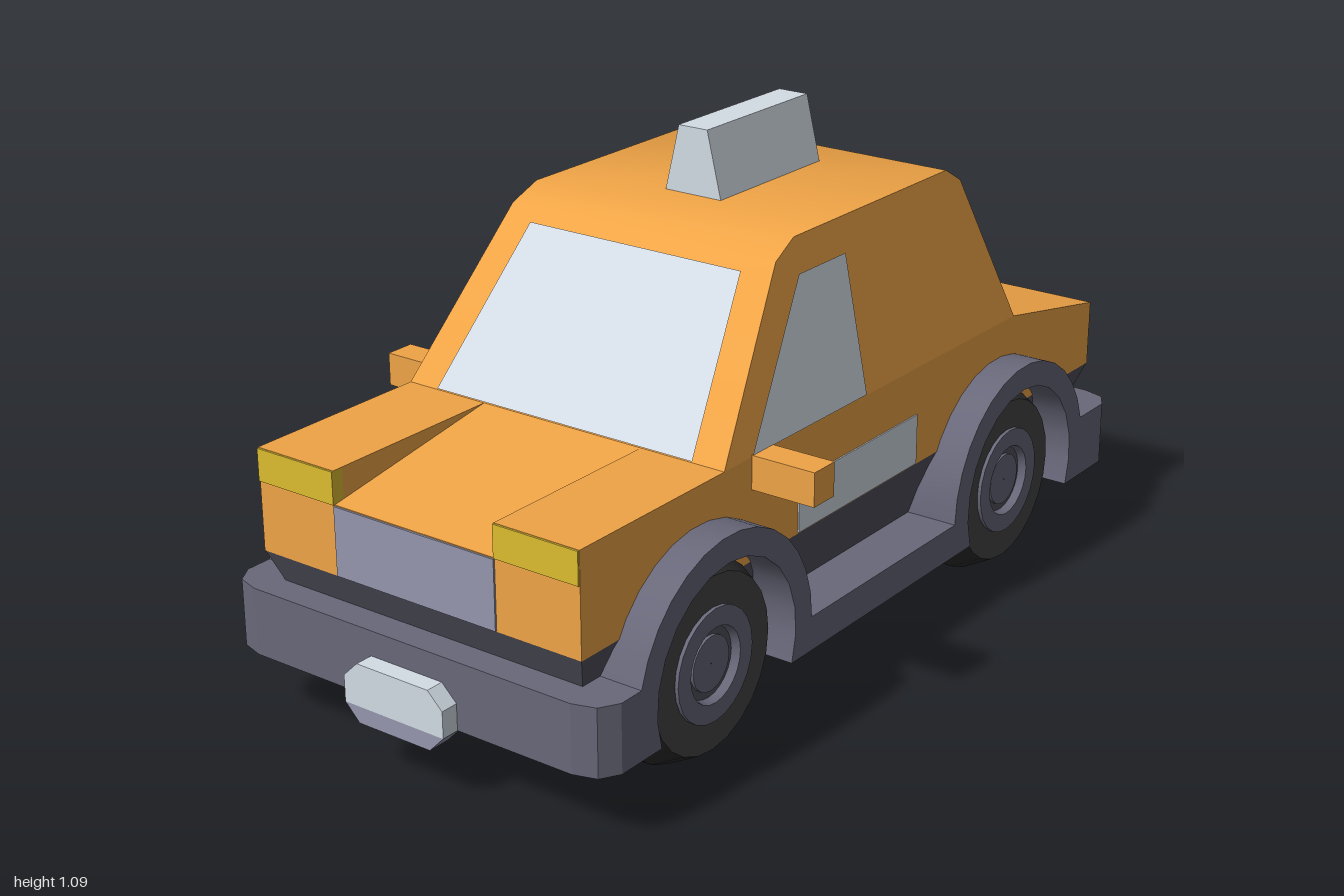
import * as THREE from 'three';
import { toCreasedNormals } from 'three/addons/utils/BufferGeometryUtils.js';

const mat = (color) => new THREE.MeshStandardMaterial({ color });
const ORANGE = mat(0xf0a446), GREY = mat(0x68687a), DARK = mat(0x50505c), FLOOR = mat(0x383842);
const LAVENDER = mat(0x9596ae), GLASS = mat(0xd3dce5), TYRE = mat(0x2b2b2b), WALL = mat(0x444446);
const YELLOW = mat(0xdcbc30), RED = mat(0xc04038);
GLASS.side = THREE.DoubleSide;

const WHEEL_R = 0.22, WHEEL_Z = [0.575, -0.53];
const cabinHalf = (y) => 0.4 - (y - 0.58) * 0.2;          // cabin narrows towards the roof
const screenZ = (y) => 0.494 - (y - 0.58) * 0.776;        // windscreen slope
const rearZ = (y) => -0.604 + (y - 0.58) * 0.418;         // rear window slope

export function createModel() {
  const model = new THREE.Group();
  const add = (name, geo, material) => {
    const m = new THREE.Mesh(geo, material);
    m.name = name;
    model.add(m);
    return m;
  };
  const box = (name, x0, x1, y0, y1, z0, z1, material) => add(name,
    new THREE.BoxGeometry(x1 - x0, y1 - y0, z1 - z0)
      .translate((x0 + x1) / 2, (y0 + y1) / 2, (z0 + z1) / 2), material);
  const shapeOf = (pts) => new THREE.Shape(pts.map(([a, b]) => new THREE.Vector2(a, b)));
  const extrude = (pts, depth) => new THREE.ExtrudeGeometry(shapeOf(pts), { depth, bevelEnabled: false });
  // side profile given as [z, y], spanning x0..x1
  const across = (pts, x0, x1) => extrude(pts, x1 - x0).rotateY(-Math.PI / 2).translate(x1, 0, 0);
  // flat convex pane from 3D corners
  const pane = (name, corners) => {
    const g = new THREE.BufferGeometry().setFromPoints(corners.map((c) => new THREE.Vector3(...c)));
    const idx = [];
    for (let i = 1; i < corners.length - 1; i++) idx.push(0, i, i + 1);
    g.setIndex(idx);
    g.computeVertexNormals();
    return add(name, g, GLASS);
  };
  const arc = (cz, cy, r, a0, a1, n = 14) => Array.from({ length: n + 1 }, (_, i) => {
    const a = a0 + (a1 - a0) * i / n;
    return [cz + r * Math.cos(a), cy + r * Math.sin(a)];
  });

  // Body shell: raised wings either side of a sunken, sloping bonnet
  const shell = (noseY) => [[-0.96, 0.36], [0.925, 0.36], [0.925, noseY], [0.49, 0.58], [-0.6, 0.58], [-0.96, 0.51]];
  add('leftBody', across(shell(0.58), 0.2, 0.4), ORANGE);
  add('middleBody', across(shell(0.51), -0.2, 0.2), ORANGE);
  add('rightBody', across(shell(0.58), -0.4, -0.2), ORANGE);

  // Cabin: side profile extruded, then pinched in with height
  const cabin = across([[0.49, 0.58], [0.23, 0.915], [0.16, 0.947], [-0.41, 0.947], [-0.46, 0.915], [-0.6, 0.58]], -0.5, 0.5);
  const cp = cabin.attributes.position;
  for (let i = 0; i < cp.count; i++) cp.setX(i, Math.sign(cp.getX(i)) * cabinHalf(cp.getY(i)));
  cabin.computeVertexNormals();
  add('cabin', toCreasedNormals(cabin, 0.75), ORANGE);

  // Windows
  pane('windscreen', [[-0.325, 0.583, screenZ(0.583)], [0.325, 0.583, screenZ(0.583)],
    [0.267, 0.89, screenZ(0.89)], [-0.267, 0.89, screenZ(0.89)]]);
  pane('rearWindow', [[0.315, 0.63, rearZ(0.63)], [-0.315, 0.63, rearZ(0.63)],
    [-0.27, 0.875, rearZ(0.875)], [0.27, 0.875, rearZ(0.875)]]);
  for (const s of [1, -1]) {
    const side = s > 0 ? 'left' : 'right';
    const onSide = ([z, y]) => [s * (cabinHalf(y) + 0.003), y, z];
    const outline = [[0.4, 0.583], [0, 0.583], [0, 0.875], [0.165, 0.875]].map(onSide);
    pane(side + 'Window', s > 0 ? outline : outline.reverse());
  }

  // Roof sign: tapered wedge
  add('roofSign', extrude([[-0.072, 0.94], [0.072, 0.94], [0.036, 1.09], [-0.036, 1.09]], 0.36)
    .translate(0, 0, -0.31), GLASS);

  // Lower body tapering in towards the floor
  const skirt = new THREE.BoxGeometry(2, 1, 2).toNonIndexed();
  const sp = skirt.attributes.position;
  for (let i = 0; i < sp.count; i++) {
    const top = sp.getY(i) > 0, front = sp.getZ(i) > 0;
    sp.setXYZ(i, Math.sign(sp.getX(i)) * (top ? 0.4 : 0.35), top ? 0.362 : 0.2,
      front ? (top ? 0.925 : 0.86) : (top ? -0.96 : -0.87));
  }
  skirt.computeVertexNormals();
  add('lowerBody', skirt, DARK);
  box('floor', -0.4, 0.4, 0.146, 0.21, -0.9, 0.9, FLOOR);

  // Fenders and sills: one side profile with wheel openings
  const [zf, zr] = WHEEL_Z;
  const t = 0.253, u = 0.34;
  const fender = [
    [0.87, 0.146], [0.87, 0.29],
    ...arc(zf, 0.22, 0.28, t, Math.PI),
    ...arc(zr, 0.22, 0.28, 0, Math.PI - t),
    [-0.83, 0.29], [-0.83, 0.146],
    ...arc(zr, 0.22, 0.224, Math.PI + u, -u),
    ...arc(zf, 0.22, 0.224, Math.PI + u, -u),
  ];
  add('leftFenders', toCreasedNormals(across(fender, 0.33, 0.474), 0.5), GREY);
  add('rightFenders', toCreasedNormals(across(fender, -0.474, -0.33), 0.5), GREY);

  // Bumpers: plan outline with clipped corners
  const bumper = (name, inner, dir) => {
    const half = [[0.474, inner], [0.474, 0.905], [0.45, 0.945], [0.4, 0.96]];
    const plan = [...half, ...half.map(([x, z]) => [-x, z]).reverse()];
    const g = extrude(plan, 0.145).rotateX(-Math.PI / 2).translate(0, 0.146, 0);
    if (dir > 0) g.rotateY(Math.PI);
    add(name, g, GREY);
  };
  bumper('frontBumper', 0.8, 1);
  bumper('rearBumper', 0.755, -1);

  // Number plates: clipped block with a pale face above a darker lip
  for (const dir of [1, -1]) {
    const end = dir > 0 ? 'front' : 'rear';
    const turn = (g) => (dir > 0 ? g : g.rotateY(Math.PI));
    add(end + 'PlateLip', turn(extrude([[-0.09, 0.11], [0.09, 0.11], [0.125, 0.146], [-0.125, 0.146]], 0.05)
      .translate(0, 0, 0.95)), LAVENDER);
    add(end + 'Plate', turn(extrude([[-0.125, 0.146], [0.125, 0.146], [0.125, 0.203], [0.09, 0.237],
      [-0.09, 0.237], [-0.125, 0.203]], 0.05).translate(0, 0, 0.95)), GLASS);
  }

  // Grille, lamps, door panels and mirrors
  box('grille', -0.2, 0.2, 0.362, 0.508, 0.9, 0.929, LAVENDER);
  for (const s of [1, -1]) {
    const side = s > 0 ? 'left' : 'right';
    const sided = (name, a, b, ...rest) =>
      box(side + name, Math.min(s * a, s * b), Math.max(s * a, s * b), ...rest);
    sided('Headlight', 0.2, 0.399, 0.51, 0.579, 0.9, 0.929, YELLOW);
    sided('TailLight', 0.2, 0.399, 0.445, 0.509, -0.963, -0.94, RED);
    sided('DoorPanel', 0.38, 0.403, 0.363, 0.475, -0.2, 0.24, GLASS);
    sided('Mirror', 0.39, 0.545, 0.512, 0.584, 0.332, 0.4, ORANGE);
    sided('MirrorGlass', 0.415, 0.543, 0.514, 0.582, 0.329, 0.34, GLASS);
  }

  // Wheels: lathed tyre, sidewall and stepped hub
  const lathe = (pts, crease) => toCreasedNormals(new THREE.LatheGeometry(
    pts.map(([r, x]) => new THREE.Vector2(r, x)), 24).rotateZ(-Math.PI / 2), crease);
  const parts = [
    ['tyre', lathe([[0.001, 0.22], [0.185, 0.22], [WHEEL_R, 0.28], [WHEEL_R, 0.37], [0.185, 0.435]], 0.4), TYRE],
    ['sidewall', lathe([[0.185, 0.435], [0.118, 0.435]], 0.4), WALL],
    ['rim', lathe([[0.12, 0.43], [0.12, 0.443], [0.08, 0.443], [0.075, 0.425]], 0.4), GREY],
    ['rimRecess', lathe([[0.08, 0.425], [0.055, 0.425]], 0.4), DARK],
    ['hub', lathe([[0.058, 0.42], [0.058, 0.432], [0.001, 0.432]], 0.4), GREY],
  ];
  WHEEL_Z.forEach((z, i) => {
    for (const s of [1, -1]) {
      const wheel = new THREE.Group();
      wheel.name = (i ? 'rear' : 'front') + (s > 0 ? 'Left' : 'Right') + 'Wheel';
      for (const [name, geo, material] of parts) {
        const m = new THREE.Mesh(geo, material);
        m.name = name;
        wheel.add(m);
      }
      wheel.position.set(0, WHEEL_R, z);
      if (s < 0) wheel.rotation.y = Math.PI;
      model.add(wheel);
    }
  });
  return model;
}
